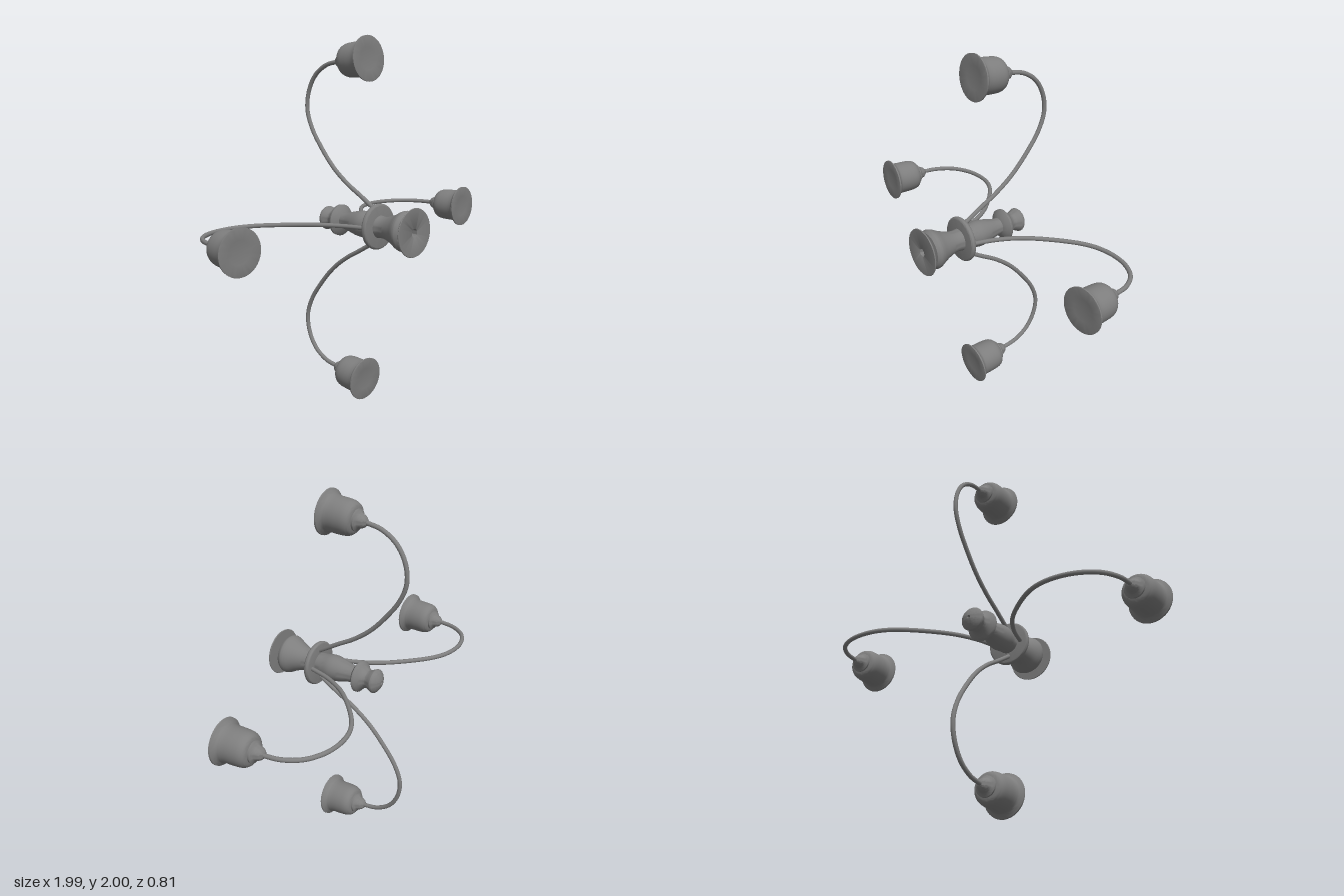
import * as THREE from 'three';
import { toCreasedNormals } from 'three/addons/utils/BufferGeometryUtils.js';

const material = new THREE.MeshStandardMaterial({ color: 0x7e7e7e });
const v2 = ([r, z]) => new THREE.Vector2(r, z);

// Smooth run of [radius, z] points
const smooth = (points, n = 16) =>
  new THREE.SplineCurve(points.map(v2)).getPoints(n).map((p) => [Math.max(p.x, 0), p.y]);

// Turned part around the z axis; profile runs from back to front
function turned(name, profile, segments = 40) {
  const geometry = new THREE.LatheGeometry(profile.map(v2), segments);
  geometry.rotateX(Math.PI / 2);
  const mesh = new THREE.Mesh(toCreasedNormals(geometry, 0.8), material);
  mesh.name = name;
  return mesh;
}

// Bell shade hanging at the end of an arm, closed by a shallow dished face
function createShade() {
  const shade = new THREE.Group();
  shade.name = 'shade';
  shade.add(
    turned('shadeCap', [
      [0, -0.16],
      ...smooth([[0.016, -0.158], [0.029, -0.145], [0.036, -0.13], [0.042, -0.118], [0.056, -0.108]], 12),
      [0.056, -0.09],
    ], 32),
    turned('shadeBell', [
      [0, -0.1],
      ...smooth([[0.052, -0.1], [0.075, -0.091], [0.089, -0.065], [0.093, -0.02],
        [0.094, 0.025], [0.1, 0.05], [0.119, 0.066]], 24),
      [0.12, 0.074], [0.113, 0.076], [0.06, 0.07], [0, 0.067],
    ]),
  );
  return shade;
}

// Arm paths as [distance from hub axis, z]
const outerArc = [[0.7, -0.378], [0.79, -0.325], [0.845, -0.24], [0.864, -0.145]];
const sideArm = [[0.075, 0.15], [0.115, 0.01], [0.18, -0.115], [0.28, -0.23], [0.41, -0.34],
  [0.5, -0.382], [0.6, -0.395], ...outerArc];
const uprightArm = [[0.075, 0.15], [0.15, 0.025], [0.21, -0.08], [0.29, -0.185], [0.4, -0.285],
  [0.5, -0.355], [0.6, -0.39], ...outerArc];

// Arm with its shade, pointing along +x before it is turned around the hub
function createArm(name, path, reach, degrees) {
  const arm = new THREE.Group();
  arm.name = name;
  const curve = new THREE.CatmullRomCurve3(path.map(([r, z]) => new THREE.Vector3(r, 0, z)));
  const tube = new THREE.Mesh(new THREE.TubeGeometry(curve, 64, 0.012, 12), material);
  tube.name = 'armTube';
  const shade = createShade();
  shade.position.x = reach;
  shade.rotation.y = THREE.MathUtils.degToRad(4);
  arm.add(tube, shade);
  arm.rotation.z = THREE.MathUtils.degToRad(degrees);
  return arm;
}

export function createModel() {
  const model = new THREE.Group();
  model.name = 'chandelier';
  const body = new THREE.Group();
  body.name = 'lampBody';
  body.position.y = 1;

  body.add(
    // Domed finial with its flared collar
    turned('finial', [
      ...smooth([[0.009, -0.26], [0.03, -0.253], [0.055, -0.238], [0.066, -0.222],
        [0.057, -0.2], [0.05, -0.178], [0.062, -0.155], [0.086, -0.132]], 28),
      [0.087, -0.12], [0.07, -0.105], [0.045, -0.095],
    ]),
    // Tapered column behind the disc
    turned('column', smooth([[0.045, -0.1], [0.05, -0.06], [0.065, 0], [0.072, 0.05],
      [0.065, 0.1], [0.06, 0.145]], 20)),
    turned('armDisc', [[0.009, 0.138], [0.114, 0.138],
      ...smooth([[0.118, 0.139], [0.123, 0.145], [0.124, 0.1525], [0.123, 0.16], [0.118, 0.166]], 8),
      [0.114, 0.167], [0.009, 0.167]]),
    // Vase-shaped stem
    turned('stem', [
      ...smooth([[0.062, 0.16], [0.058, 0.195], [0.065, 0.235], [0.084, 0.285], [0.103, 0.322],
        [0.108, 0.345], [0.097, 0.365]], 24),
      [0.045, 0.372], [0.036, 0.38], [0.036, 0.398],
    ]),
    // Thin mounting plate with a bore that narrows to a wire channel
    turned('mountingPlate', [[0.03, 0.392], [0.128, 0.395], [0.13, 0.398], [0.128, 0.402],
      [0.026, 0.403], [0.022, 0.4], [0.022, 0.35], [0.009, 0.35], [0.009, -0.26]]),
    createArm('leftArm', sideArm, 0.869, -0.8),
    createArm('upperArm', uprightArm, 0.874, 89.4),
    createArm('rightArm', sideArm, 0.869, 180.3),
    createArm('lowerArm', uprightArm, 0.874, 269.2),
  );
  model.add(body);
  return model;
}
